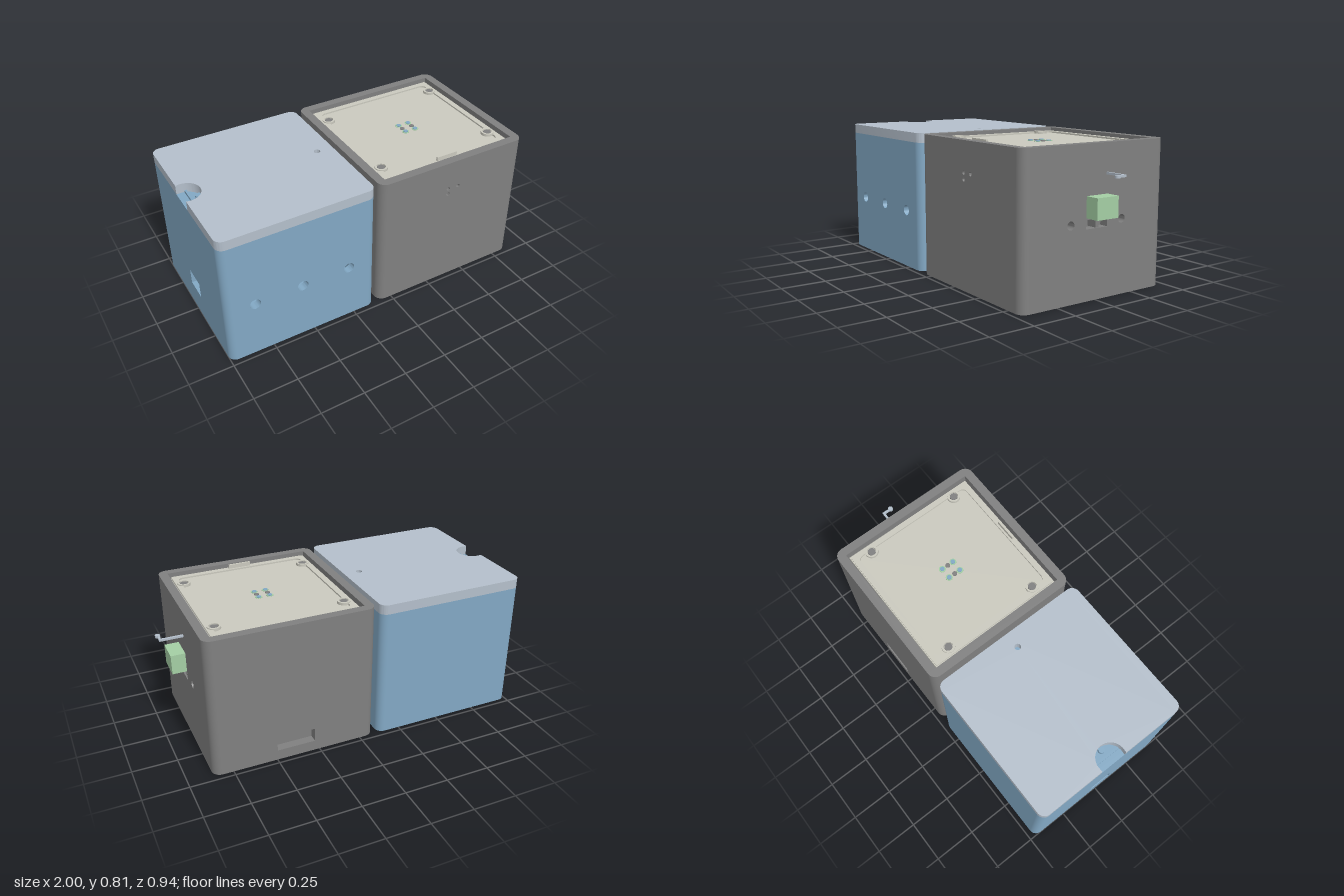
import * as THREE from 'three';
import { toCreasedNormals } from 'three/addons/utils/BufferGeometryUtils.js';

const mat = (name, color) => {
  const m = new THREE.MeshStandardMaterial({ color });
  m.name = name;
  return m;
};

export function createModel() {
  const model = new THREE.Group();
  model.name = 'twinEnclosures';
  const grey = mat('dark grey', 0x808080);
  const blue = mat('steel blue', 0x82a8c4);
  const pale = mat('pale blue grey', 0xb4bfcb);
  const green = mat('soft green', 0xa4cea4);
  const beige = mat('warm beige', 0xcac9be);

  const add = (name, geo, material, x = 0, y = 0, z = 0, parent = model) => {
    const m = new THREE.Mesh(geo, material);
    m.name = name;
    m.position.set(x, y, z);
    parent.add(m);
    return m;
  };
  // Box given by its limits
  const block = (name, material, x0, x1, y0, y1, z0, z1, parent) =>
    add(name, new THREE.BoxGeometry(x1 - x0, y1 - y0, z1 - z0), material,
      (x0 + x1) / 2, (y0 + y1) / 2, (z0 + z1) / 2, parent);
  const disc = (name, material, r, x, y0, y1, z) =>
    add(name, new THREE.CylinderGeometry(r, r, y1 - y0, 32), material, x, (y0 + y1) / 2, z);

  const rect = (P, x0, x1, y0, y1) => new P()
    .moveTo(x0, y0).lineTo(x1, y0).lineTo(x1, y1).lineTo(x0, y1).closePath();
  const roundRect = (P, x0, x1, y0, y1, r) => new P().moveTo(x0 + r, y0)
    .absarc(x1 - r, y0 + r, r, -Math.PI / 2, 0)
    .absarc(x1 - r, y1 - r, r, 0, Math.PI / 2)
    .absarc(x0 + r, y1 - r, r, Math.PI / 2, Math.PI)
    .absarc(x0 + r, y0 + r, r, Math.PI, Math.PI * 1.5).closePath();
  const circle = (P, x, y, r) => new P().absarc(x, y, r, 0, Math.PI * 2);
  const extrude = (shape, depth) => toCreasedNormals(
    new THREE.ExtrudeGeometry(shape, { depth, bevelEnabled: false, curveSegments: 16 }), 0.6);
  // Shape drawn in (x, -z), extruded upward from y0 to y1
  const slab = (name, shape, material, y0, y1) =>
    add(name, extrude(shape, y1 - y0).rotateX(-Math.PI / 2), material, 0, y0, 0);

  // Hollow case: four pierced walls, four rounded corners, a floor.
  // Holes are listed for the front, right, back and left walls.
  function hollowCase(name, material, x0, x1, h, r, holes) {
    const g = new THREE.Group();
    g.name = name;
    const w = x1 - x0, d = 0.94;
    g.position.x = (x0 + x1) / 2;
    ['front', 'right', 'back', 'left'].forEach((side, i) => {
      const len = (i % 2 ? d : w) / 2 - r, out = (i % 2 ? w : d) / 2;
      const s = rect(THREE.Shape, -len, len, 0, h);
      s.holes.push(...(holes[side] || []));
      const wall = new THREE.Group();
      wall.name = side + 'Side';
      wall.rotation.y = i * Math.PI / 2;
      add(side + 'Wall', extrude(s, r), material, 0, 0, out - r, wall);
      g.add(wall);
      const post = new THREE.CylinderGeometry(r, r, h, 10, 1, false, 0, Math.PI / 2);
      add(side + 'Corner', post, material, len, h / 2, out - r, wall);
    });
    block('floor', material, -w / 2 + r, w / 2 - r, 0.003, 0.03, -d / 2 + r, d / 2 - r, g);
    model.add(g);
    return g;
  }

  // Blue case
  const bc = -0.5575;
  hollowCase('blueCase', blue, -1, -0.115, 0.75, 0.045, {
    front: [-0.835, -0.56, -0.28].map(x => circle(THREE.Path, x - bc, 0.34, 0.031)),
    left: [rect(THREE.Path, -0.06, 0.08, 0.15, 0.245)],
  });
  block('portBacking', blue, -0.94, -0.93, 0.12, 0.28, -0.09, 0.11);
  block('caseTop', blue, -0.955, -0.16, 0.725, 0.74, -0.425, 0.425);
  [[-0.36, 0.05, 0.04], [-0.565, 0.015, 0.055], [-0.74, 0.01, 0.07]].forEach(([x, z, r]) =>
    disc('baseDisc', beige, r, x, 0, 0.003, z));

  // Blue case lid with finger notch and pin hole
  const R = 0.045, lid = new THREE.Shape();
  lid.moveTo(-1 + R, -0.47)
    .absarc(-0.115 - R, -0.47 + R, R, -Math.PI / 2, 0)
    .absarc(-0.115 - R, 0.47 - R, R, 0, Math.PI / 2)
    .absarc(-1 + R, 0.47 - R, R, Math.PI / 2, Math.PI)
    .lineTo(-1, 0.08)
    .absarc(-0.975, 0, 0.082, Math.PI / 2, -Math.PI / 2, true)
    .lineTo(-1, -0.08)
    .absarc(-1 + R, -0.47 + R, R, Math.PI, Math.PI * 1.5);
  lid.holes.push(circle(THREE.Path, -0.21, 0, 0.018));
  slab('lid', lid, pale, 0.75, 0.805);
  disc('notchPin', blue, 0.018, -0.908, 0.74, 0.765, 0);
  block('notchRib', blue, -0.957, -0.945, 0.74, 0.765, -0.075, 0.075);

  // Grey case
  const gc = 0.3875;
  hollowCase('greyCase', grey, -0.085, 0.86, 0.805, 0.05, {
    front: [[0.355, 0.635], [0.42, 0.635], [0.355, 0.6]]
      .map(([x, y]) => circle(THREE.Path, x - gc, y, 0.011)),
    right: [circle(THREE.Path, -0.17, 0.405, 0.023), circle(THREE.Path, 0.17, 0.405, 0.023),
      rect(THREE.Path, -0.07, 0.07, 0.375, 0.54)],
    back: [rect(THREE.Path, -0.11, 0.11, 0.06, 0.14)],
  });
  block('slotBacking', grey, 0.25, 0.53, 0.03, 0.17, -0.415, -0.405);
  block('windowBacking', grey, 0.78, 0.79, 0.34, 0.43, -0.1, 0.1);
  block('windowDivider', grey, 0.79, 0.85, 0.375, 0.43, -0.02, 0);
  block('windowLedge', grey, 0.79, 0.85, 0.42, 0.43, -0.07, 0.07);

  // Green push block and crank rod on the right side
  block('pushBlock', green, 0.8, 0.94, 0.432, 0.544, -0.07, 0.07);
  block('pushBlockSocket', grey, 0.865, 0.91, 0.43, 0.434, -0.045, 0.03);
  block('crankRod', pale, 0.8, 0.99, 0.643, 0.655, -0.07, -0.058);
  block('crankArm', pale, 0.978, 0.99, 0.643, 0.655, -0.07, -0.014);
  disc('crankEnd', pale, 0.014, 0.986, 0.642, 0.656, -0.014);
  block('crankPlate', pale, 0.798, 0.808, 0.64, 0.66, -0.15, -0.058);

  // Tray: floor, raised frame with shallow recess
  block('trayFloor', beige, -0.03, 0.8, 0.755, 0.778, -0.41, 0.41);
  const frame = roundRect(THREE.Shape, -0.022, 0.795, -0.405, 0.405, 0.01);
  frame.holes.push(roundRect(THREE.Path, 0.015, 0.762, -0.372, 0.372, 0.03));
  slab('trayFrame', frame, beige, 0.778, 0.787);
  block('trayHandle', beige, 0.322, 0.452, 0.787, 0.81, 0.384, 0.396);

  // Screws in their bosses
  for (const x of [0.025, 0.75]) for (const z of [-0.29, 0.29]) {
    const boss = circle(THREE.Shape, x, -z, 0.037);
    boss.holes.push(circle(THREE.Path, x, -z, 0.026));
    slab('screwBoss', boss, beige, 0.778, 0.793);
    disc('screwHead', grey, 0.022, x, 0.778, 0.789, z);
  }

  // Contact pins in two columns
  for (const x of [0.355, 0.42]) {
    for (const z of [-0.038, 0.036]) {
      disc('contactRing', green, 0.02, x, 0.778, 0.78, z);
      disc('contactPin', blue, 0.013, x, 0.78, 0.784, z);
    }
    disc('middlePin', grey, 0.014, x, 0.778, 0.782, 0);
  }

  return model;
}
